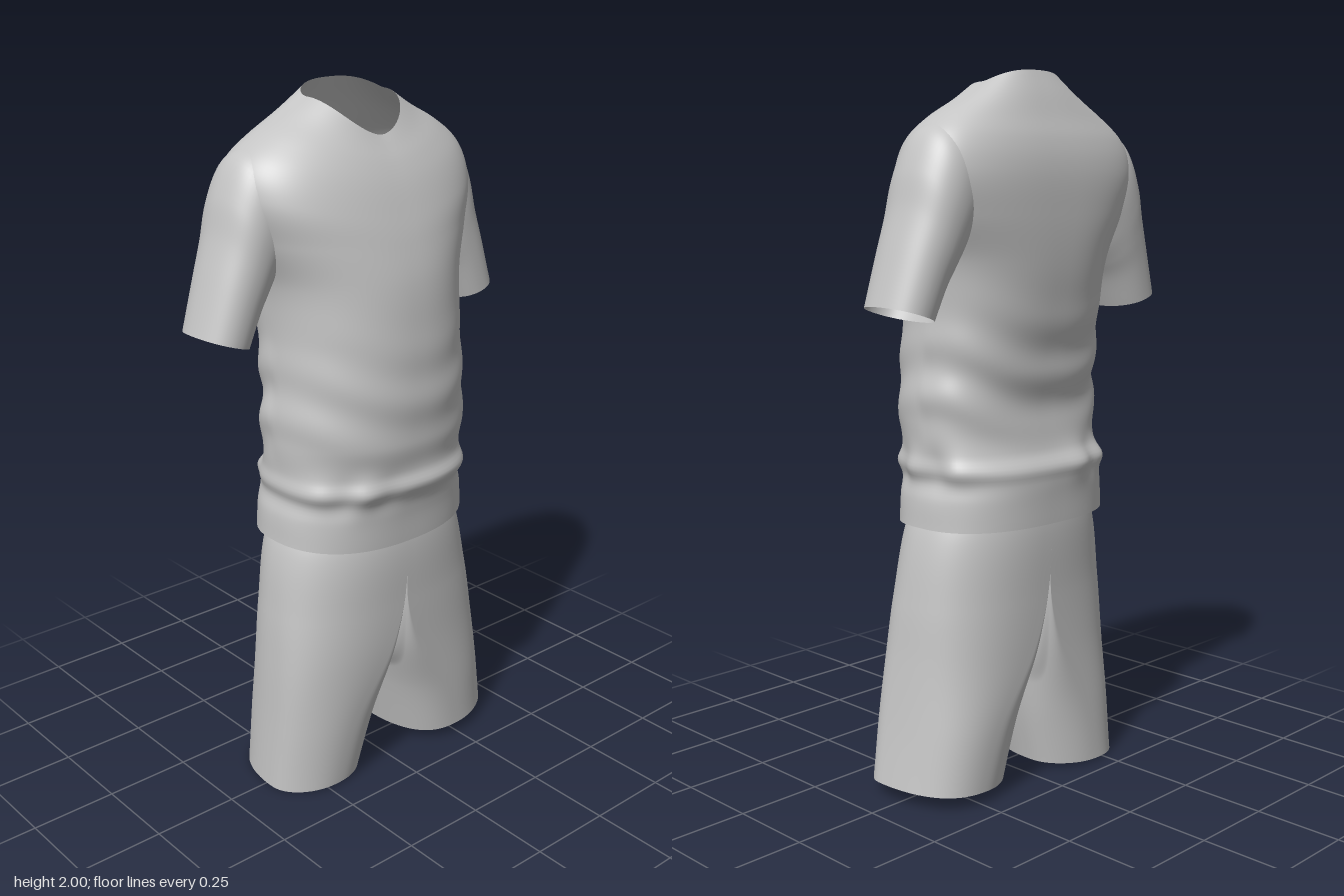
import * as THREE from 'three';

const fabric = new THREE.MeshStandardMaterial({ color: 0xc4c4c4, side: THREE.DoubleSide });
fabric.name = 'light grey fabric';

// Smooth interpolation of rows [key, ...values]
function track(rows) {
  const curve = new THREE.CubicInterpolant(rows.map(r => r[0]), rows.flatMap(r => r.slice(1)), rows[0].length - 1);
  return t => [...curve.evaluate(t)];
}

// Open tube made of closed rings; point(angle, v) returns [x, y, z]
function loft(name, nu, nv, flip, point) {
  const pos = [], index = [];
  for (let j = 0; j <= nv; j++) {
    for (let i = 0; i < nu; i++) pos.push(...point(i / nu * Math.PI * 2, j / nv));
  }
  for (let j = 0; j < nv; j++) {
    for (let i = 0; i < nu; i++) {
      const k = (i + 1) % nu;
      const a = j * nu + i, b = j * nu + k, c = a + nu, d = b + nu;
      if (flip) index.push(a, b, c, b, d, c);
      else index.push(a, c, b, b, c, d);
    }
  }
  const geo = new THREE.BufferGeometry();
  geo.setAttribute('position', new THREE.Float32BufferAttribute(pos, 3));
  geo.setIndex(index);
  geo.computeVertexNormals();
  const mesh = new THREE.Mesh(geo, fabric);
  mesh.name = name;
  return mesh;
}

const { smoothstep } = THREE.MathUtils;
const spow = (v, p) => Math.sign(v) * Math.pow(Math.abs(v), p);
const bump = (v, mid, width) => Math.exp(-(((v - mid) / width) ** 2));

// Shirt body: side height, front height, back height, half width, front z, back z, side z
const bodyRows = track([
  [0.77, 0.752, 0.77, 0.317, 0.208, -0.226, -0.01],
  [0.85, 0.845, 0.85, 0.31, 0.214, -0.228, -0.01],
  [0.895, 0.89, 0.895, 0.298, 0.222, -0.232, -0.01],
  [0.93, 0.93, 0.93, 0.307, 0.241, -0.236, -0.01],
  [0.97, 0.97, 0.97, 0.3, 0.23, -0.208, -0.01],
  [1.06, 1.06, 1.06, 0.308, 0.24, -0.187, -0.01],
  [1.2, 1.2, 1.2, 0.3, 0.244, -0.2, -0.01],
  [1.35, 1.35, 1.35, 0.293, 0.238, -0.225, -0.02],
  [1.5, 1.5, 1.5, 0.305, 0.223, -0.241, -0.04],
  [1.62, 1.6, 1.62, 0.352, 0.2, -0.245, -0.06],
  [1.74, 1.68, 1.74, 0.387, 0.175, -0.24, -0.075],
  [1.83, 1.76, 1.82, 0.355, 0.145, -0.221, -0.08],
  [1.885, 1.81, 1.88, 0.283, 0.12, -0.195, -0.08],
  [1.925, 1.845, 1.94, 0.205, 0.098, -0.17, -0.075],
  [1.967, 1.872, 2.0, 0.135, 0.08, -0.14, -0.065],
]);

function bodyPoint(a, v) {
  const side = 0.77 + v * 1.197;
  const [yF, yB, w, zF, zB, zm] = bodyRows(side);
  const c = Math.cos(a), s = Math.sin(a), front = s > 0;
  // Shallow V at the front, straight slope at the back
  const y = front
    ? side + (yF - side) * (1 - Math.pow(Math.abs(c), 1.6))
    : side + (yB - side) * Math.pow(-s, 1.25);
  // Draped folds hang lower at the middle than at the sides
  const sag = y + 0.17 * s * s + 0.03 * Math.sin(a * 2 + 1);
  const drape = Math.sin(sag * 2 * Math.PI / 0.16) * bump(y, 1.16, 0.16) * (front ? 0.003 : 0.006);
  const gather = Math.sin(a * 7 + Math.sin(a * 3) * 2) * bump(y, 0.93, 0.05) * 0.006;
  const k = 1 + (drape + gather) / 0.25;
  // Broad, flat back across the shoulder blades
  const p = 2 / (front ? 2.2 + 0.3 * bump(y, 0.75, 0.2) : 2.5 + 0.5 * bump(y, 1.68, 0.15));
  const depth = front ? zF - zm : zm - zB;
  return [w * spow(c, p) * k, y, zm + depth * spow(s, p) * k];
}

// Sleeve: outer x, y, inner x, y, centre z, half depth
const sleeveRows = track([
  [0, 0.3, 1.868, 0.22, 1.58, -0.08, 0.115],
  [0.2, 0.367, 1.826, 0.26, 1.54, -0.08, 0.123],
  [0.4, 0.413, 1.737, 0.285, 1.5, -0.08, 0.121],
  [0.6, 0.44, 1.635, 0.308, 1.465, -0.078, 0.116],
  [0.8, 0.474, 1.53, 0.335, 1.42, -0.075, 0.11],
  [1, 0.518, 1.39, 0.37, 1.342, -0.072, 0.103],
]);

function sleevePoint(a, v) {
  const [xo, yo, xi, yi, zc, r] = sleeveRows(v);
  const p = 2 / 2.2;
  const t = (1 + spow(Math.cos(a), p)) / 2;
  return [xi + (xo - xi) * t, yi + (yo - yi) * t, zc + r * spow(Math.sin(a), p)];
}

// Shorts leg on +x, mirrored by sign: height, middle x, outer x, inner x, front z, back z
const legs = {
  left: {
    sign: 1, hemOut: 0.045, hemIn: 0.025, turn: 0.06,
    rows: track([
      [0.02, 0.25, 0.424, 0.09, 0.168, -0.178],
      [0.2, 0.19, 0.394, 0.048, 0.18, -0.187],
      [0.4, 0.06, 0.366, 0.003, 0.19, -0.193],
      [0.55, 0.008, 0.348, 0, 0.196, -0.197],
      [0.74, 0, 0.313, 0, 0.197, -0.202],
      [0.84, 0, 0.275, 0, 0.18, -0.195],
    ]),
  },
  right: {
    sign: -1, hemOut: 0, hemIn: 0.012, turn: 0.04,
    rows: track([
      [0, 0.215, 0.372, 0.06, 0.145, -0.195],
      [0.2, 0.165, 0.36, 0.022, 0.168, -0.195],
      [0.4, 0.055, 0.35, 0.002, 0.19, -0.195],
      [0.55, 0.008, 0.339, 0, 0.196, -0.197],
      [0.74, 0, 0.313, 0, 0.197, -0.202],
      [0.84, 0, 0.275, 0, 0.18, -0.195],
    ]),
  },
};

// The top ring follows the waist outside and the crotch seam inside
function legPoint(leg, a, v) {
  const c = Math.cos(a), s = Math.sin(a), inner = c < -1e-6;
  const top = inner ? 0.38 + 0.46 * Math.pow(Math.abs(s), 6) : 0.84;
  const hem = leg.hemIn + (leg.hemOut - leg.hemIn) * (1 + c) / 2;
  const y = top + (hem - top) * v;
  const [xm, xo, xi, zF, zB] = leg.rows(y);
  const p = 2 / (2.2 + 0.4 * bump(y, 0.42, 0.25));
  let x = xm + (inner ? xm - xi : xo - xm) * spow(c, p);
  if (inner) x *= smoothstep(v, 0, 0.3);
  // The outer edge of each leg turns forward towards the hem
  const zm = (zF + zB) / 2 + leg.turn * c * Math.abs(c) * (1 - smoothstep(y, 0.15, 0.75));
  const depth = s > 0 ? zF - zm : zm - zB;
  return [leg.sign * x, y, zm + depth * spow(s, p)];
}

export function createModel() {
  const model = new THREE.Group();
  model.name = 'shirtAndShorts';

  const shirt = new THREE.Group();
  shirt.name = 'shirt';
  shirt.add(loft('shirtBody', 128, 120, false, bodyPoint));
  for (const [name, sign] of [['leftSleeve', 1], ['rightSleeve', -1]]) {
    shirt.add(loft(name, 64, 40, sign > 0, (a, v) => {
      const [x, y, z] = sleevePoint(a, v);
      return [sign * x, y, z];
    }));
  }

  const shorts = new THREE.Group();
  shorts.name = 'shorts';
  for (const [side, leg] of Object.entries(legs)) {
    shorts.add(loft(side + 'ShortsLeg', 96, 60, leg.sign > 0, (a, v) => legPoint(leg, a, v)));
  }

  model.add(shirt, shorts);
  return model;
}
